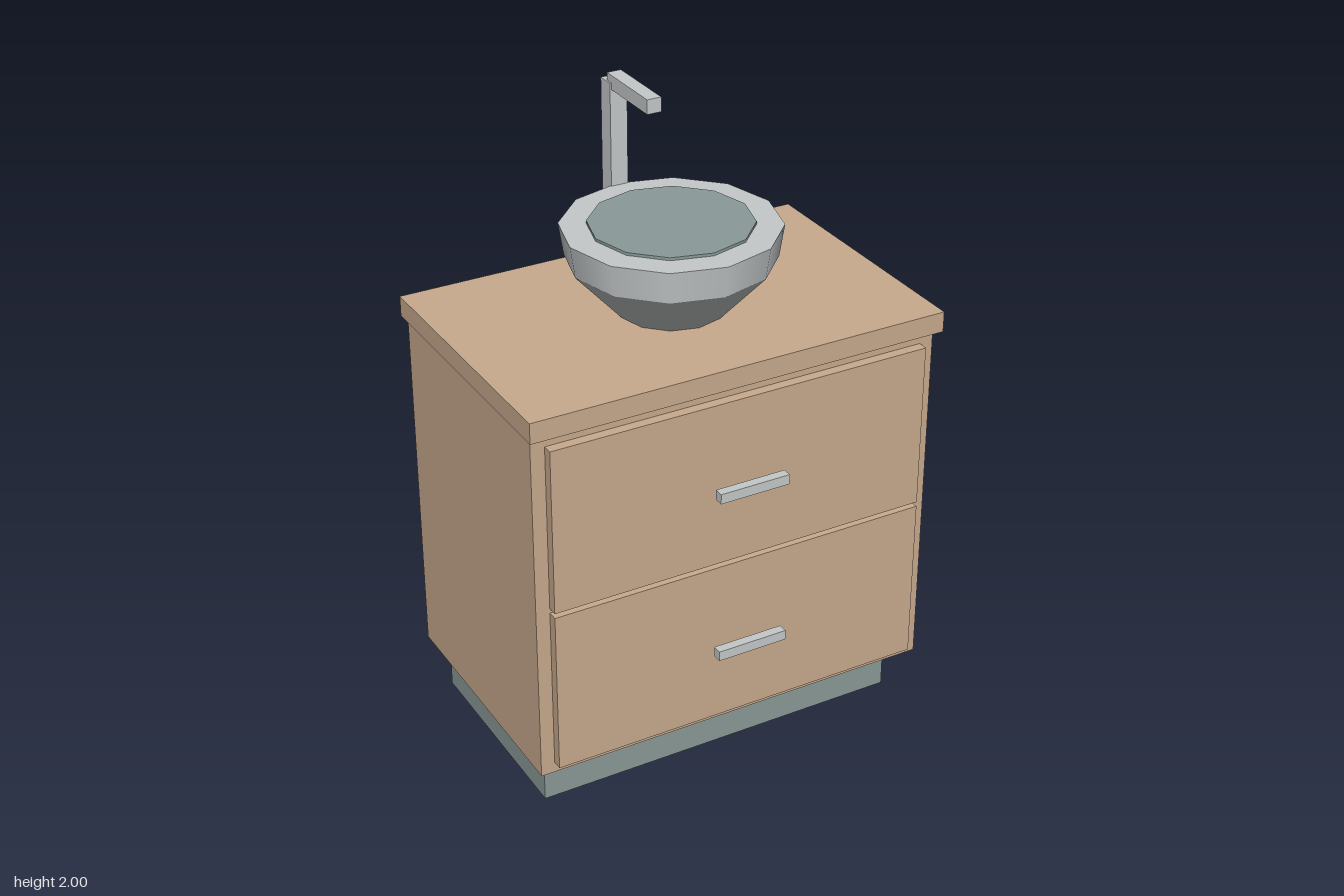
import * as THREE from 'three';

const material = (name, color) => {
  const m = new THREE.MeshStandardMaterial({ color });
  m.name = name;
  return m;
};

export function createModel() {
  const wood = material('wood', 0xc8aa8d);
  const metal = material('paleMetal', 0xc5c9ca);
  const slate = material('slate', 0x8a9a98);
  const model = new THREE.Group();
  model.name = 'washstand';

  const add = (name, geometry, mat) => {
    const mesh = new THREE.Mesh(geometry, mat);
    mesh.name = name;
    model.add(mesh);
    return mesh;
  };

  // Box centred on x, given its half width and its y and z ranges
  const box = (name, mat, halfX, y0, y1, z0, z1) =>
    add(name, new THREE.BoxGeometry(halfX * 2, y1 - y0, z1 - z0), mat)
      .position.set(0, (y0 + y1) / 2, (z0 + z1) / 2);

  // Twelve-sided drum around the basin axis
  const drum = (name, mat, rTop, rBottom, y0, y1) =>
    add(name, new THREE.CylinderGeometry(rTop, rBottom, y1 - y0, 12), mat)
      .position.set(0, (y0 + y1) / 2, -0.026);

  // Cabinet
  box('plinth', slate, 0.607, 0, 0.17, -0.4, 0.277);
  box('cabinet', wood, 0.66, 0.17, 1.322, -0.45, 0.37);
  box('countertop', wood, 0.674, 1.322, 1.387, -0.468, 0.402);

  // Drawers with bar handles
  [['lower', 0.205, 0.737, 0.456], ['upper', 0.752, 1.283, 1.0]].forEach(([side, y0, y1, h]) => {
    box(side + 'Drawer', wood, 0.616, y0, y1, 0.37, 0.402);
    box(side + 'Handle', metal, 0.114, h, h + 0.032, 0.438, 0.468);
  });

  // Basin
  drum('basinBowl', metal, 0.313, 0.166, 1.387, 1.55);
  drum('basinRim', metal, 0.328, 0.313, 1.55, 1.65);
  drum('basinInside', slate, 0.246, 0.246, 1.645, 1.659);

  // Tap
  box('tapBase', metal, 0.063, 1.387, 1.436, -0.405, -0.338);
  box('tapColumn', metal, 0.028, 1.387, 1.976, -0.4, -0.342);
  box('tapSpout', metal, 0.023, 1.955, 2.0, -0.37, -0.125);

  return model;
}
